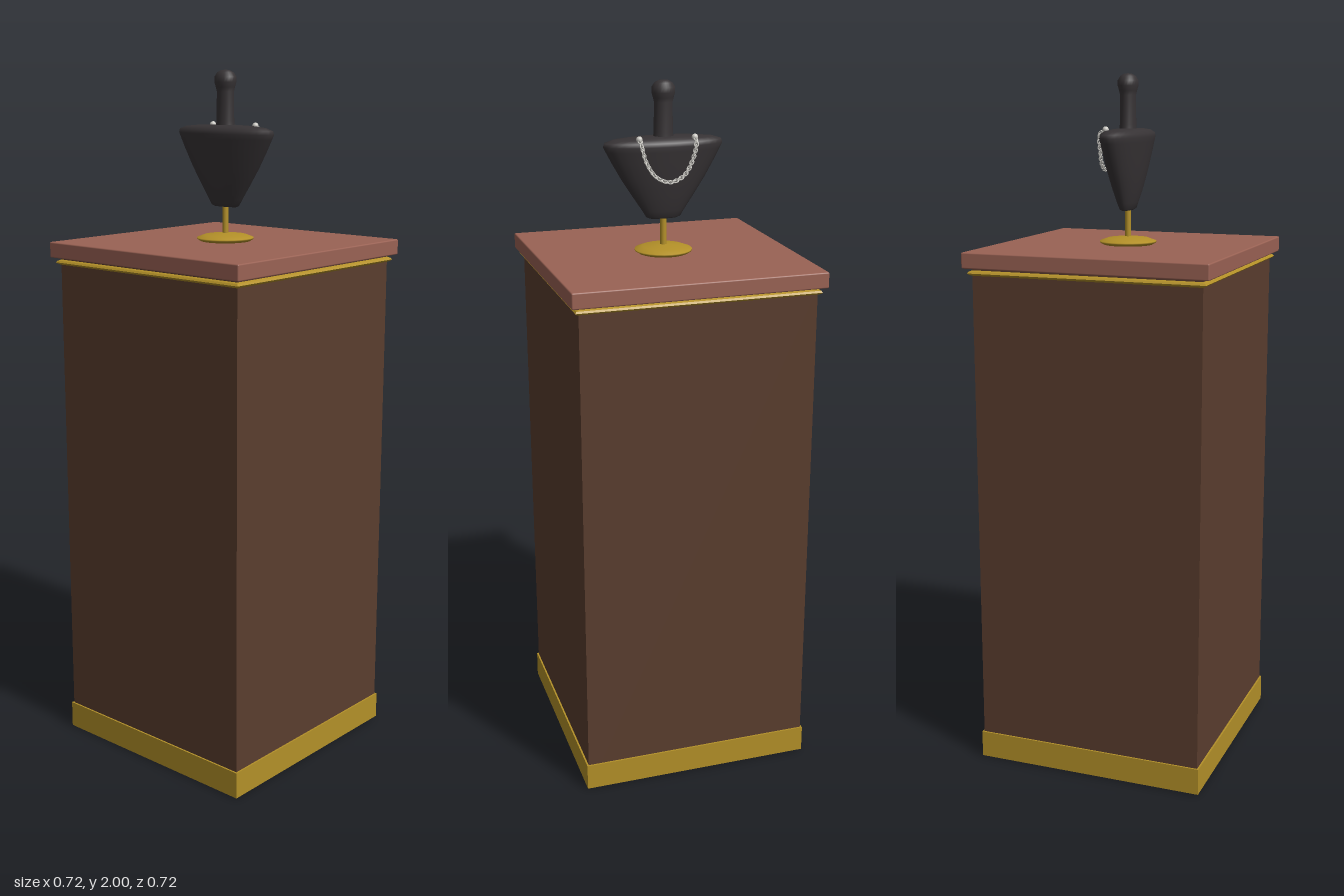
import * as THREE from 'three';
import { RoundedBoxGeometry } from 'three/addons/geometries/RoundedBoxGeometry.js';

const material = (color) => new THREE.MeshStandardMaterial({ color });
const wood = material(0x5a3d2e);
const slabWood = material(0x9a6254);
const gold = material(0xb39028);
const velvet = material(0x373335);
const silver = material(0xcccac4);

function add(parent, name, geometry, mat, x = 0, y = 0, z = 0) {
  const mesh = new THREE.Mesh(geometry, mat);
  mesh.name = name;
  mesh.position.set(x, y, z);
  parent.add(mesh);
  return mesh;
}

// Closed surface from stacked ellipses: [y, halfWidth, halfDepth]
function ellipseLoft(sections, sides = 32) {
  const pos = [], index = [];
  sections.forEach(([y, rx, rz]) => {
    for (let i = 0; i < sides; i++) {
      const a = (i / sides) * Math.PI * 2;
      pos.push(rx * Math.sin(a), y, rz * Math.cos(a));
    }
  });
  for (let r = 0; r < sections.length - 1; r++) {
    for (let i = 0; i < sides; i++) {
      const j = (i + 1) % sides;
      const a = r * sides + i, b = r * sides + j, c = a + sides, d = b + sides;
      index.push(a, b, d, a, d, c);
    }
  }
  const g = new THREE.BufferGeometry();
  g.setAttribute('position', new THREE.Float32BufferAttribute(pos, 3));
  g.setIndex(index);
  g.computeVertexNormals();
  return g;
}

function createPedestal() {
  const g = new THREE.Group();
  g.name = 'pedestal';
  add(g, 'column', new THREE.BoxGeometry(0.67, 1.475, 0.67), wood, 0, 0.7375, 0);
  add(g, 'baseBand', new THREE.BoxGeometry(0.68, 0.078, 0.68), gold, 0, 0.041, 0);
  // Thin moulding with a pointed edge under the slab
  const profile = [[0.333, 1.453], [0.342, 1.457], [0.346, 1.461], [0.342, 1.466], [0.333, 1.47]]
    .map(([r, y]) => new THREE.Vector2(r * Math.SQRT2, y));
  const moulding = new THREE.LatheGeometry(profile, 4, Math.PI / 4).toNonIndexed();
  moulding.computeVertexNormals();
  add(g, 'moulding', moulding, gold);
  add(g, 'topSlab', new RoundedBoxGeometry(0.716, 0.045, 0.716, 2, 0.004), slabWood, 0, 1.4975, 0);
  return g;
}

function createBust() {
  const g = new THREE.Group();
  g.name = 'displayBust';
  const foot = [[0, 1.52], [0.072, 1.52], [0.082, 1.526], [0.082, 1.53], [0.06, 1.538], [0.015, 1.543], [0, 1.543]];
  add(g, 'footDisc', new THREE.LatheGeometry(foot.map((p) => new THREE.Vector2(...p)), 24), gold);
  add(g, 'rod', new THREE.CylinderGeometry(0.009, 0.009, 0.11, 16), gold, 0, 1.585, 0);
  add(g, 'torso', ellipseLoft([
    [1.618, 0, 0], [1.618, 0.04, 0.012], [1.622, 0.05, 0.018], [1.64, 0.061, 0.024],
    [1.68, 0.088, 0.034], [1.73, 0.121, 0.043], [1.78, 0.15, 0.05], [1.81, 0.166, 0.054],
    [1.824, 0.173, 0.056], [1.834, 0.17, 0.054], [1.842, 0.145, 0.046],
    [1.846, 0.1, 0.035], [1.848, 0.03, 0.024], [1.85, 0, 0],
  ]), velvet);
  add(g, 'neck', ellipseLoft([
    [1.835, 0.03, 0.025], [1.86, 0.027, 0.023], [1.94, 0.026, 0.022], [1.952, 0.029, 0.025],
    [1.966, 0.033, 0.029], [1.98, 0.033, 0.029], [1.992, 0.025, 0.022], [1.998, 0.014, 0.012], [2, 0, 0],
  ], 24), velvet);
  return g;
}

function createNecklace() {
  const g = new THREE.Group();
  g.name = 'necklace';
  const path = new THREE.CatmullRomCurve3([
    [-0.08, 1.846, -0.038], [-0.079, 1.832, -0.055], [-0.066, 1.785, -0.059], [-0.04, 1.746, -0.064],
    [0, 1.73, -0.066],
    [0.04, 1.746, -0.064], [0.066, 1.785, -0.059], [0.079, 1.832, -0.055], [0.08, 1.846, -0.038],
  ].map((p) => new THREE.Vector3(...p)));
  // Interlocked links, alternately turned a quarter around the path
  const link = new THREE.TorusGeometry(0.0055, 0.0018, 6, 12);
  link.scale(1.3, 1, 1);
  const count = 38;
  const along = new THREE.Vector3(1, 0, 0);
  for (let i = 0; i <= count; i++) {
    const p = path.getPointAt(i / count);
    const mesh = add(g, 'chainLink', link, silver, p.x, p.y, p.z);
    mesh.quaternion.setFromUnitVectors(along, path.getTangentAt(i / count));
    mesh.rotateX(i % 2 ? Math.PI / 4 : -Math.PI / 4);
  }
  // Pins holding the chain on the shoulders
  for (const s of [-1, 1]) add(g, 'pin', new THREE.SphereGeometry(0.009, 16, 12), silver, s * 0.08, 1.846, -0.037);
  return g;
}

export function createModel() {
  const model = new THREE.Group();
  model.name = 'jewelleryDisplay';
  model.add(createPedestal(), createBust(), createNecklace());
  return model;
}
